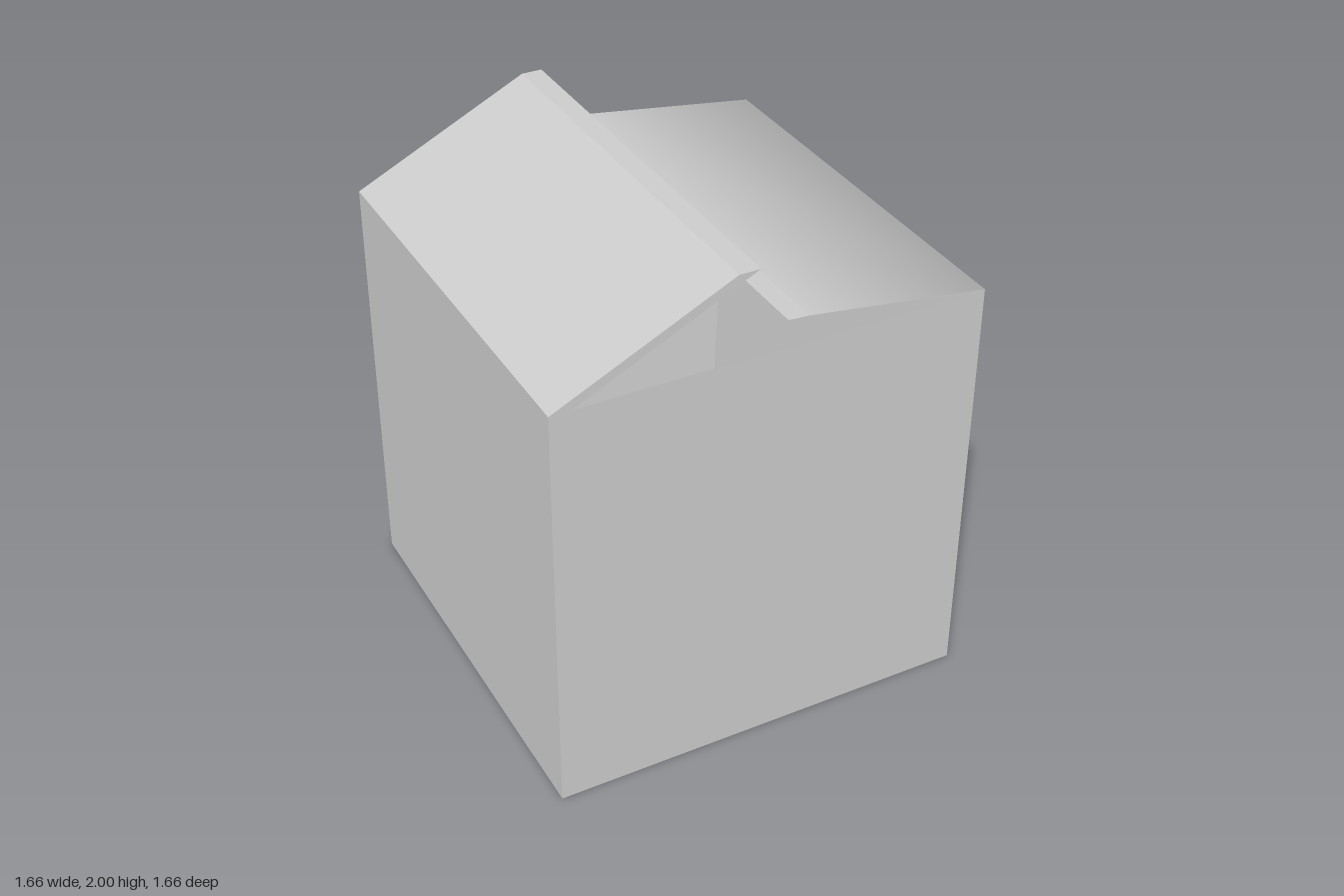
import * as THREE from 'three';

const HALF = 0.83, RIM = 1.67;

// Four-sided skin through rectangular rings [halfX, halfZ, y]
function skin(rings) {
  const corners = [[1, 1], [1, -1], [-1, -1], [-1, 1]];
  const at = ([hx, hz, y], k) => [corners[k % 4][0] * hx, y, corners[k % 4][1] * hz];
  const pos = [];
  for (let i = 0; i + 1 < rings.length; i++) {
    for (let k = 0; k < 4; k++) {
      const a = at(rings[i], k), b = at(rings[i], k + 1);
      const c = at(rings[i + 1], k + 1), d = at(rings[i + 1], k);
      pos.push(...a, ...b, ...c, ...a, ...c, ...d);
    }
  }
  const geo = new THREE.BufferGeometry();
  geo.setAttribute('position', new THREE.Float32BufferAttribute(pos, 3));
  geo.computeVertexNormals();
  return geo;
}

// Flap: a sheared slab running the depth of the box
function flap(points) {
  const shape = new THREE.Shape(points.map(([x, y]) => new THREE.Vector2(x, y)));
  const geo = new THREE.ExtrudeGeometry(shape, { depth: 2 * HALF, bevelEnabled: false });
  return geo.translate(0, 0, -HALF);
}

// Blend the shading over the soft fold along the upper +x edge
function softenFold(geo) {
  const p = geo.attributes.position, n = geo.attributes.normal;
  for (let i = 0; i < p.count; i++) {
    const onFold = p.getX(i) > HALF - 0.01 && Math.abs(p.getY(i) - RIM) < 0.01;
    if (onFold && (n.getX(i) > 0.9 || n.getY(i) > 0.5)) n.setXYZ(i, 0.755, 0.656, 0);
  }
  return geo;
}

export function createModel() {
  const group = new THREE.Group();
  const material = new THREE.MeshStandardMaterial({ color: 0xcccccc });
  const add = (name, geo) => {
    const mesh = new THREE.Mesh(geo, material);
    mesh.name = name;
    group.add(mesh);
  };

  // Outer walls and base, with an extra ring below the fold
  add('outerWalls', softenFold(skin([
    [0, 0, 0], [HALF, HALF, 0], [HALF, HALF, 1.5], [HALF, HALF, RIM],
  ])));

  // Tapered cavity and floor
  add('innerWalls', skin([[0.75, HALF, RIM], [0.61, 0.69, 0.12], [0, 0, 0.12]]));

  // Half-open lid flaps
  add('rightFlap', flap([[-HALF, RIM], [-0.75, RIM], [-0.07, 2], [-0.15, 2]]));
  add('leftFlap', softenFold(flap([[HALF, RIM], [0.12, 1.77], [0.04, 1.775], [0.75, RIM]])));

  return group;
}
